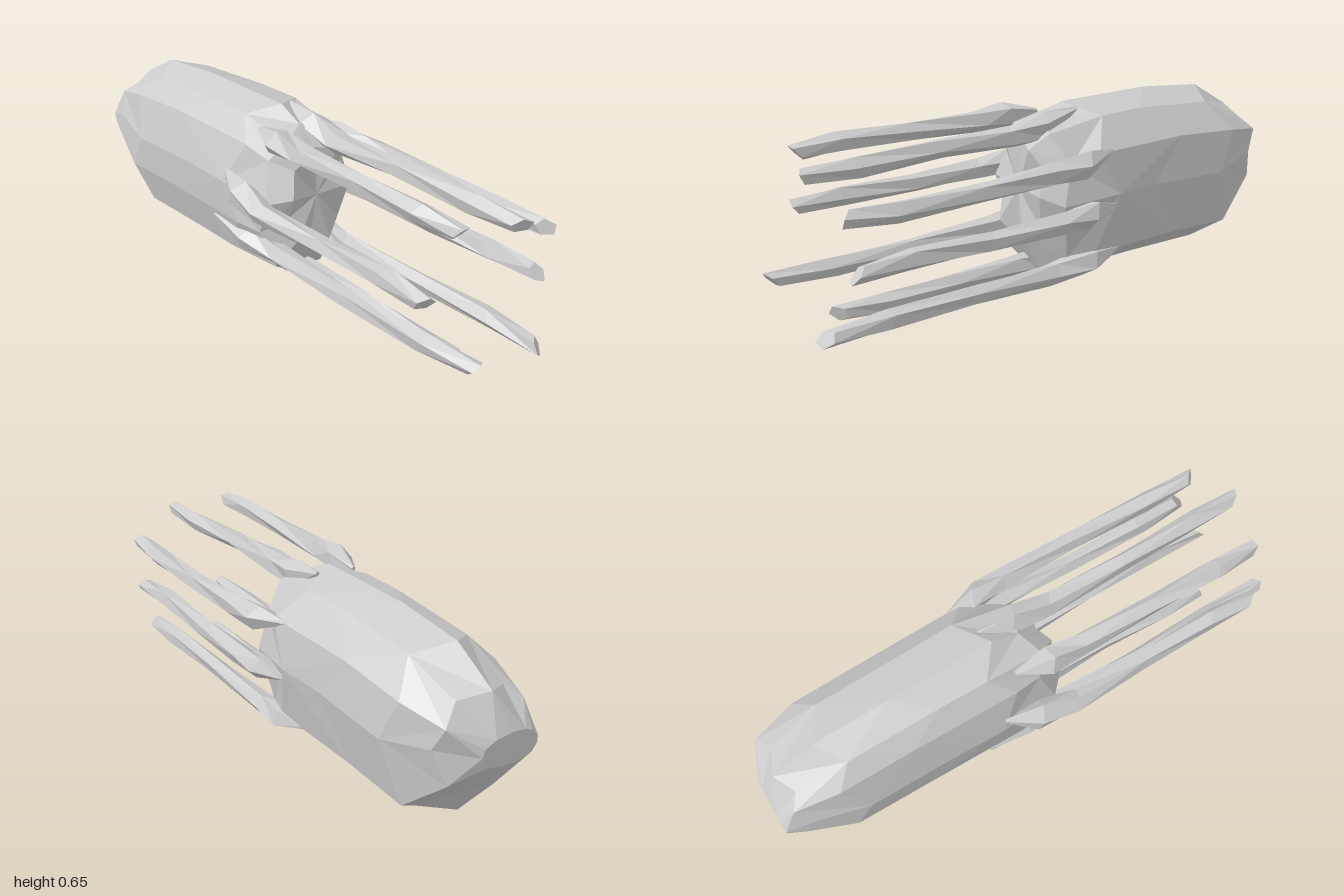
import * as THREE from 'three';

const material = new THREE.MeshStandardMaterial({ color: 0xcccccc, flatShading: true });

// Joins cross-sections running along +x into a closed, faceted surface
function loft(name, rings) {
  const pos = [];
  const tri = (a, b, c) => pos.push(...a, ...b, ...c);
  const n = rings[0].length;
  const centre = (ring) => [0, 1, 2].map((k) => ring.reduce((s, p) => s + p[k], 0) / n);
  const first = rings[0], last = rings[rings.length - 1];
  const c0 = centre(first), c1 = centre(last);
  for (let j = 0; j < n; j++) {
    const k = (j + 1) % n;
    tri(c0, first[k], first[j]);
    tri(c1, last[j], last[k]);
    for (let i = 0; i < rings.length - 1; i++) {
      const a = rings[i][j], b = rings[i][k], c = rings[i + 1][k], d = rings[i + 1][j];
      // alternate the diagonal for an irregular faceted look
      if ((i + j) % 2) { tri(a, b, c); tri(a, c, d); }
      else { tri(a, b, d); tri(b, c, d); }
    }
  }
  const geo = new THREE.BufferGeometry();
  geo.setAttribute('position', new THREE.Float32BufferAttribute(pos, 3));
  geo.computeVertexNormals();
  const mesh = new THREE.Mesh(geo, material);
  mesh.name = name;
  return mesh;
}

// Body: one lopsided outline (z, y) fitted to the extents of each station
function makeBody() {
  const outline = [
    [0, 0.65], [0.1, 0.615], [0.16, 0.54], [0.21, 0.38], [0.207, 0.24], [0.17, 0.09],
    [0.045, 0], [-0.08, 0.025], [-0.19, 0.11], [-0.235, 0.34], [-0.215, 0.5], [-0.13, 0.61],
  ];
  // x, bottom, top, zMin, zMax, stagger along x
  const stations = [
    [-1.0, 0.30, 0.41, -0.08, 0.14, 0],
    [-0.92, 0.20, 0.53, -0.19, 0.165, 0.02],
    [-0.74, 0.005, 0.625, -0.235, 0.21, 0.035],
    [-0.43, 0.01, 0.65, -0.235, 0.215, 0.07],
    [-0.14, 0.012, 0.648, -0.245, 0.22, -0.04],
    [0.02, 0.02, 0.605, -0.205, 0.195, 0.02],
    [0.09, 0.16, 0.54, -0.14, 0.125, 0.015],
  ];
  const rings = stations.map(([x, y0, y1, z0, z1, s]) => outline.map(([z, y], j) => [
    x + (j % 2 ? s : -s),
    y0 + (y / 0.65) * (y1 - y0),
    z0 + ((z + 0.235) / 0.445) * (z1 - z0),
  ]));
  return loft('body', rings);
}

// Arm: a pointed root on the body, a thick shoulder, then a wavering five-sided strand
function makeArm([root, y, z, tip], index) {
  const [rx, ry, rz] = root;
  // fraction of length, radius
  const sections = [
    [0.0, 0.008], [0.14, 0.05], [0.27, 0.04], [0.55, 0.033], [0.83, 0.036], [1.0, 0.028],
  ];
  const rings = sections.map(([t, r], i) => {
    const blend = Math.min(1, t / 0.2);
    const wave = i > 1 ? 0.006 : 0;
    const cy = THREE.MathUtils.lerp(ry, y, blend) + wave * Math.sin(i * 2.1 + index * 1.7);
    const cz = THREE.MathUtils.lerp(rz, z, blend) + wave * Math.cos(i * 1.6 + index * 2.3);
    const x = rx + (tip - rx) * t;
    return Array.from({ length: 5 }, (_, j) => {
      const a = (j / 5) * Math.PI * 2 + i * 0.35 + index;
      // slanted ends, never beyond the tip
      const slant = i === 0 ? 0 : 0.025 * (Math.cos(a + index) - 1);
      return [x + slant, Math.max(0.004, cy + r * Math.cos(a)), cz + r * Math.sin(a)];
    });
  });
  return loft('arm' + (index + 1), rings);
}

export function createModel() {
  const model = new THREE.Group();
  model.name = 'squid';
  model.add(makeBody());

  // root position, strand height y, strand z, tip x
  const arms = [
    [[-0.08, 0.595, 0.12], 0.59, 0.148, 0.89],
    [[-0.12, 0.63, -0.06], 0.567, -0.05, 0.96],
    [[-0.16, 0.50, -0.215], 0.467, -0.246, 0.92],
    [[-0.17, 0.30, -0.23], 0.293, -0.247, 0.90],
    [[-0.22, 0.12, -0.19], 0.083, -0.178, 0.98],
    [[-0.15, 0.025, 0.04], 0.05, 0.027, 0.83],
    [[-0.24, 0.22, 0.208], 0.163, 0.168, 1.0],
    [[-0.17, 0.43, 0.205], 0.373, 0.248, 0.86],
  ];
  const group = new THREE.Group();
  group.name = 'arms';
  arms.forEach((arm, i) => group.add(makeArm(arm, i)));
  model.add(group);
  return model;
}
